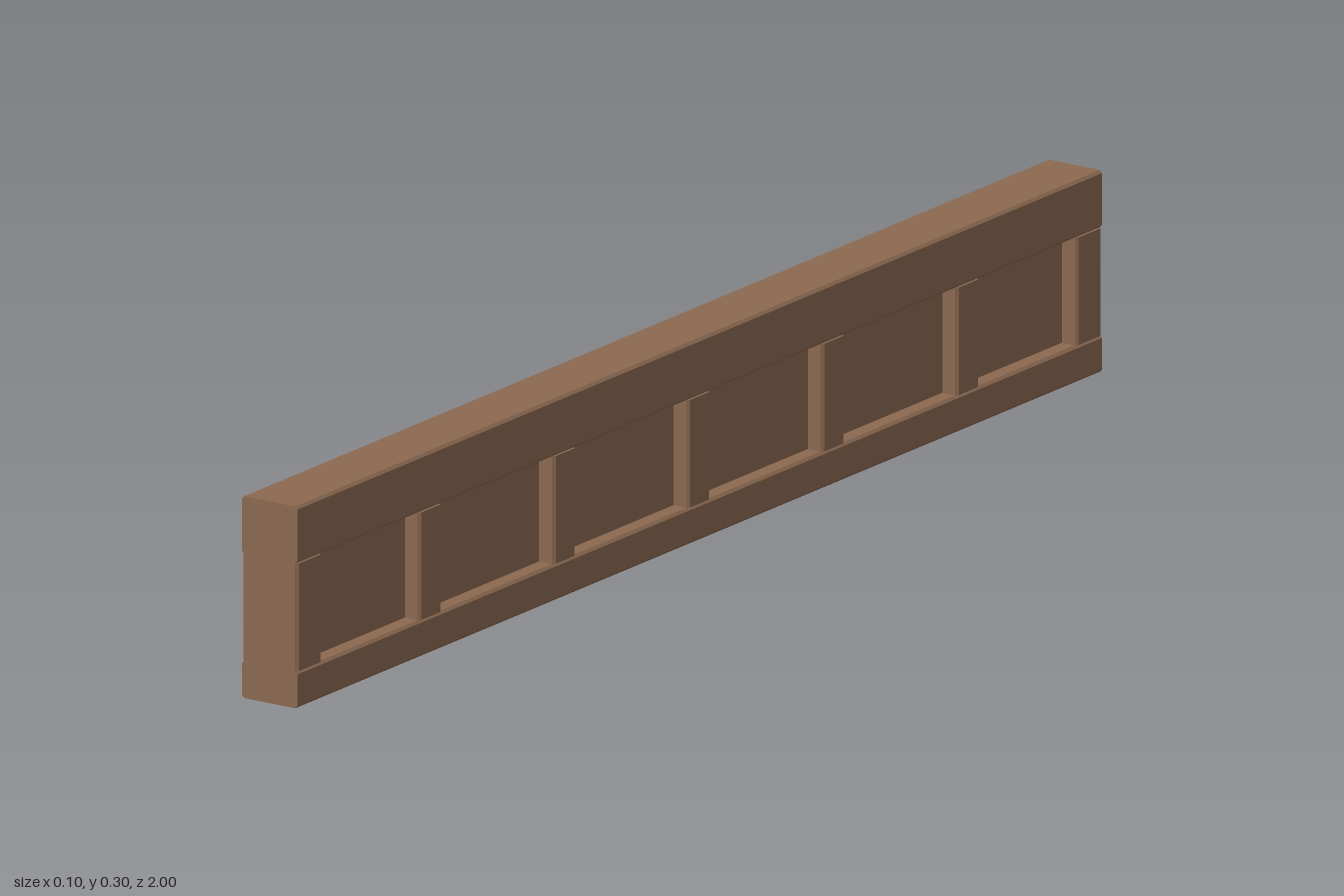
import * as THREE from 'three';

const HALF_X = 0.048, BEVEL = 0.004, RAIL_LOW = 0.055, RAIL_HIGH = 0.215, TOP = 0.3;

// Rectangle with four small chamfered corners, centred on the origin
function chamferedRect(w, h, c) {
  const a = w / 2, b = h / 2;
  return new THREE.Shape([
    [a - c, -b], [a, -b + c], [a, b - c], [a - c, b],
    [-a + c, b], [-a, b - c], [-a, -b + c], [-a + c, -b],
  ].map(([x, y]) => new THREE.Vector2(x, y)));
}

const extrude = (shape, depth) =>
  new THREE.ExtrudeGeometry(shape, { depth, bevelEnabled: false });

export function createModel() {
  const group = new THREE.Group();
  group.name = 'panelledBeam';
  const wood = new THREE.MeshStandardMaterial({ color: 0x8b6950 });
  wood.name = 'brown wood';

  function add(name, geometry, x, y, z) {
    const mesh = new THREE.Mesh(geometry, wood);
    mesh.name = name;
    mesh.position.set(x, y, z);
    group.add(mesh);
  }

  // Long rails along z
  for (const [name, y0, y1] of [['bottomRail', 0, RAIL_LOW], ['topRail', RAIL_HIGH, TOP]]) {
    add(name, extrude(chamferedRect(HALF_X * 2, y1 - y0, BEVEL), 2), 0, (y0 + y1) / 2, -1);
  }

  // Recessed panel between the rails
  add('recessedPanel', new THREE.BoxGeometry(0.044, RAIL_HIGH - RAIL_LOW, 1.98), 0, (RAIL_LOW + RAIL_HIGH) / 2, 0);

  // Upright stiles: wider ones at the ends, five between
  for (let i = -3; i <= 3; i++) {
    const end = Math.abs(i) === 3;
    const width = end ? 0.062 : 0.055;
    const z = end ? Math.sign(i) * (1 - width / 2) : i * 0.334;
    const geometry = extrude(chamferedRect(HALF_X * 2, width, BEVEL), RAIL_HIGH - RAIL_LOW);
    geometry.rotateX(-Math.PI / 2);
    add(end ? 'endStile' : 'stile', geometry, 0, RAIL_LOW, z);
  }
  return group;
}
